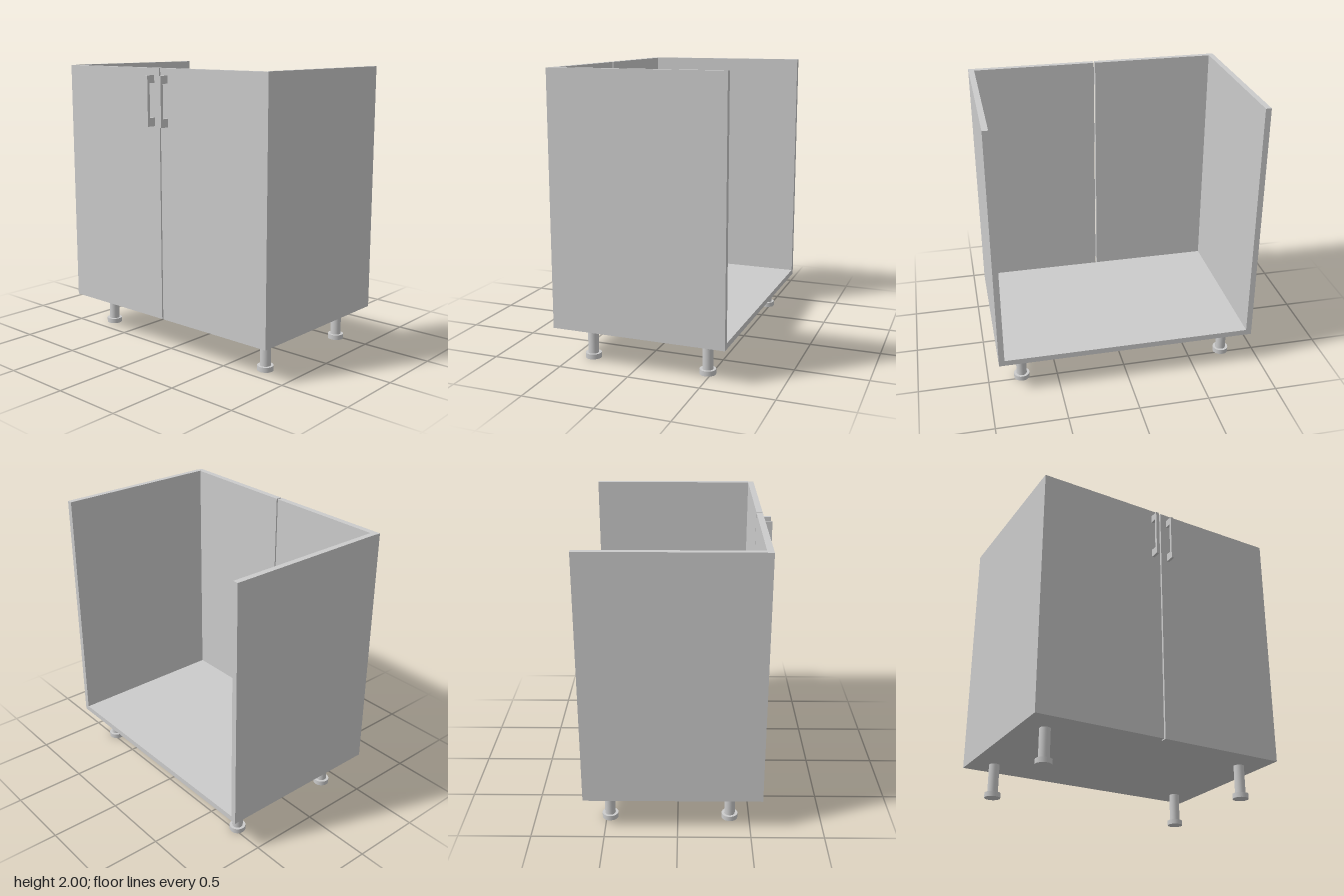
import * as THREE from 'three';

const material = new THREE.MeshStandardMaterial({ color: 0xcccccc });

export function createModel() {
  const model = new THREE.Group();
  model.name = 'baseCabinet';

  const add = (name, geometry, x, y, z, parent = model) => {
    const mesh = new THREE.Mesh(geometry, material);
    mesh.name = name;
    mesh.position.set(x, y, z);
    parent.add(mesh);
    return mesh;
  };
  // Box given by its limits on each axis
  const box = (name, [x0, x1], [y0, y1], [z0, z1]) =>
    add(name, new THREE.BoxGeometry(x1 - x0, y1 - y0, z1 - z0),
      (x0 + x1) / 2, (y0 + y1) / 2, (z0 + z1) / 2);

  const bottom = 0.24, top = 2, back = -0.645, front = 0.537, doorFront = 0.58;
  const half = 0.926, board = 0.04;

  // Floor board; the carcass has no back and no top
  box('bottomPanel', [-half + board, half - board], [bottom, bottom + board], [back, front]);

  // Pull handle: a flat bracket cut out as a C, drawn in z (along x) and y
  const outline = new THREE.Shape([
    [0, 1.605], [0.065, 1.605], [0.065, 1.95], [0, 1.95],
    [0, 1.897], [0.044, 1.897], [0.044, 1.663], [0, 1.663],
  ].map(([z, y]) => new THREE.Vector2(z, y)));
  const handleWidth = 0.019;
  const handleGeometry = new THREE.ExtrudeGeometry(outline, { depth: handleWidth, bevelEnabled: false })
    .translate(0, 0, -handleWidth / 2)
    .rotateY(-Math.PI / 2);

  // Adjustable leg: post and wider round foot
  const postGeometry = new THREE.CylinderGeometry(0.037, 0.037, bottom - 0.035, 24);
  const footGeometry = new THREE.CylinderGeometry(0.056, 0.056, 0.035, 24);

  for (const [side, s] of [['left', 1], ['right', -1]]) {
    const span = (a, b) => (s > 0 ? [a, b] : [-b, -a]);
    box(`${side}SidePanel`, span(half - board, half), [bottom, top], [back, front]);
    box(`${side}Door`, span(0.0055, half), [bottom, top - 0.002], [front, doorFront]);
    add(`${side}Handle`, handleGeometry, s * 0.0625, 0, doorFront);

    for (const [end, z] of [['Front', 0.364], ['Back', -0.475]]) {
      const leg = new THREE.Group();
      leg.name = `${side}${end}Leg`;
      leg.position.set(s * 0.757, 0, z);
      add('post', postGeometry, 0, (bottom + 0.035) / 2, 0, leg);
      add('foot', footGeometry, 0, 0.0175, 0, leg);
      model.add(leg);
    }
  }
  return model;
}
